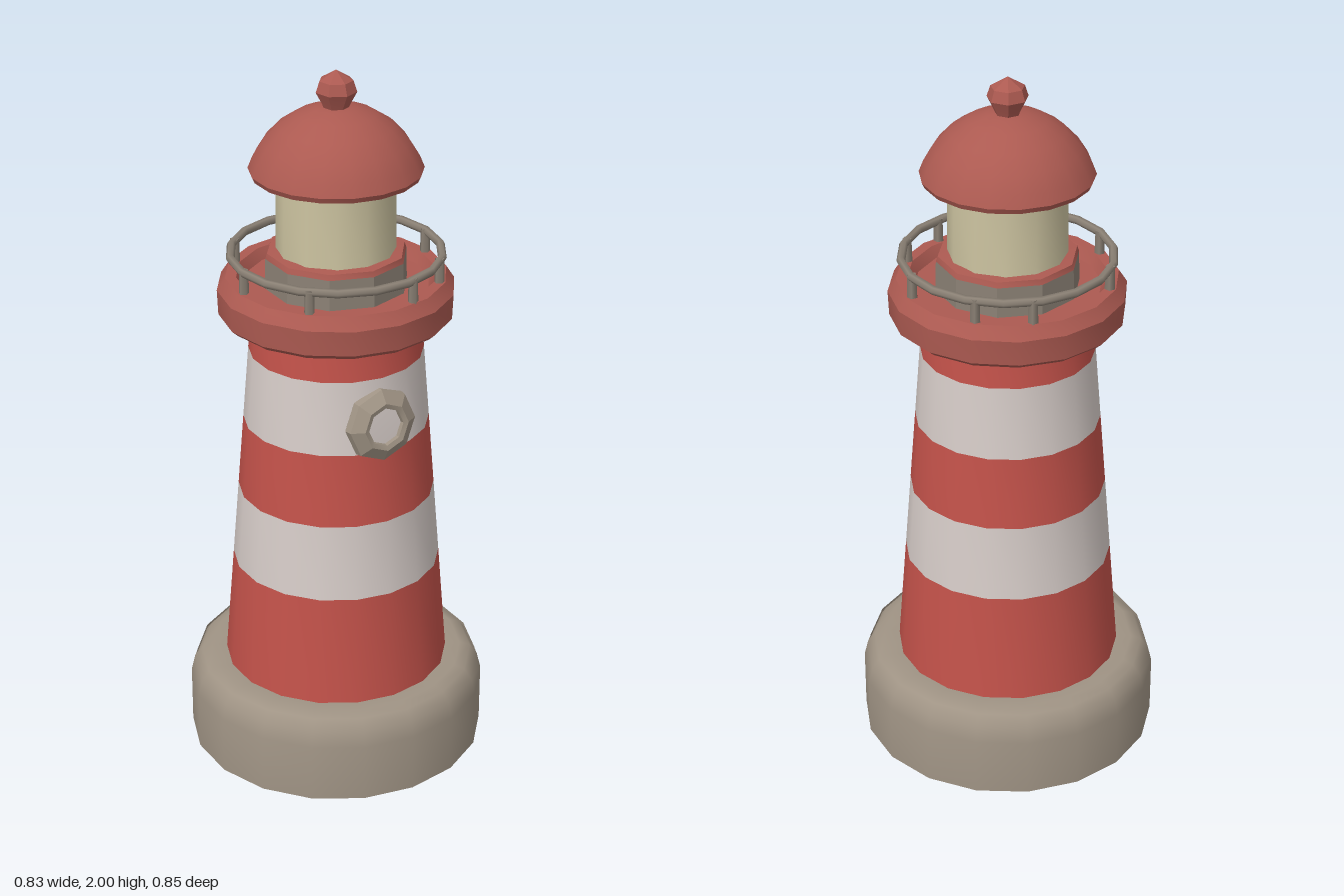
import * as THREE from 'three';
import { toCreasedNormals } from 'three/addons/utils/BufferGeometryUtils.js';

const mat = (name, color) => {
  const m = new THREE.MeshStandardMaterial({ color });
  m.name = name;
  return m;
};

// Turned part: profile of [radius, height] pairs, rising profiles face outward
function turned(name, profile, sides, material, crease = 0.6) {
  const points = profile.map(([r, y]) => new THREE.Vector2(r, y));
  const geometry = toCreasedNormals(new THREE.LatheGeometry(points, sides), crease);
  const mesh = new THREE.Mesh(geometry, material);
  mesh.name = name;
  return mesh;
}

export function createModel() {
  const red = mat('stripe red', 0xc3524a);
  const white = mat('stripe white', 0xd6ccc8);
  const roofRed = mat('roof red', 0xac5a51);
  const stone = mat('stone', 0x9f9384);
  const cream = mat('lantern cream', 0xccc3a0);
  const metal = mat('railing grey', 0x8a8074);

  const model = new THREE.Group();
  model.name = 'lighthouse';

  // Hollow stone base with a rounded shoulder
  model.add(turned('base', [
    [0.3, 0.235], [0.405, 0.235], [0.415, 0], [0.423, 0], [0.423, 0.17],
    [0.412, 0.215], [0.39, 0.245], [0.36, 0.255], [0.3, 0.25],
  ], 18, stone, 0.8));

  // Tapered tower in stripes, closed underneath
  const radiusAt = (y) => 0.318 - (y - 0.25) * 0.08;
  const levels = [0.23, 0.57, 0.79, 1.0, 1.21, 1.32];
  for (let i = 0; i < levels.length - 1; i++) {
    const [a, b] = [levels[i], levels[i + 1]];
    const profile = [[radiusAt(a), a], [radiusAt(b), b]];
    if (i === 0) profile.unshift([0, a]);
    model.add(turned('towerStripe' + (i + 1), profile, 18, i % 2 ? white : red));
  }

  // Round window with a bevelled stone frame
  const porthole = new THREE.Group();
  porthole.name = 'porthole';
  porthole.add(turned('windowFrame', [
    [0.09, -0.03], [0.105, -0.01], [0.102, 0.012], [0.068, 0.034], [0.054, 0.03], [0.052, 0.015],
  ], 8, stone, 0.3));
  const glass = turned('windowPane', [[0.056, 0.018], [0, 0.02]], 8, white);
  porthole.add(glass);
  porthole.rotation.set(Math.PI / 2 - 0.08, 0, 0);
  porthole.position.set(-0.01, 1.08, 0.25);
  model.add(porthole);

  // Balcony with a raised rim
  model.add(turned('balcony', [
    [0.22, 1.31], [0.305, 1.31], [0.322, 1.325], [0.325, 1.395], [0.302, 1.43],
    [0.272, 1.43], [0.255, 1.4], [0.17, 1.4],
  ], 16, roofRed, 0.5));

  // Railing hoop and posts
  const hoop = new THREE.Mesh(new THREE.TorusGeometry(0.288, 0.012, 6, 18), metal);
  hoop.name = 'railingHoop';
  hoop.rotation.x = Math.PI / 2;
  hoop.position.y = 1.49;
  model.add(hoop);
  const postGeometry = new THREE.CylinderGeometry(0.013, 0.015, 0.09, 5);
  for (let i = 0; i < 8; i++) {
    const angle = i * Math.PI / 4 + (i % 4 === 0 ? 0.25 * (i ? -1 : 1) : 0);
    const post = new THREE.Mesh(postGeometry, metal);
    post.name = 'railingPost' + (i + 1);
    post.position.set(0.285 * Math.sin(angle), 1.452, 0.285 * Math.cos(angle));
    model.add(post);
  }

  // Lantern room on its collar
  model.add(turned('lanternCollar', [[0.198, 1.39], [0.195, 1.485]], 10, metal, 0.3));
  model.add(turned('collarCap', [[0.195, 1.485], [0.19, 1.5], [0.14, 1.505]], 10, roofRed));
  model.add(turned('lantern', [[0.163, 1.49], [0.16, 1.73]], 12, cream));

  // Domed roof with a flat underside
  model.add(turned('roof', [
    [0, 1.715], [0.228, 1.715], [0.235, 1.73], [0.222, 1.762], [0.195, 1.805],
    [0.155, 1.848], [0.105, 1.88], [0.055, 1.897], [0, 1.902],
  ], 18, roofRed));

  // Faceted knob
  model.add(turned('roofKnob', [
    [0.03, 1.89], [0.04, 1.912], [0.056, 1.942], [0.046, 1.972], [0, 2.0],
  ], 7, roofRed, 0.2));

  return model;
}
